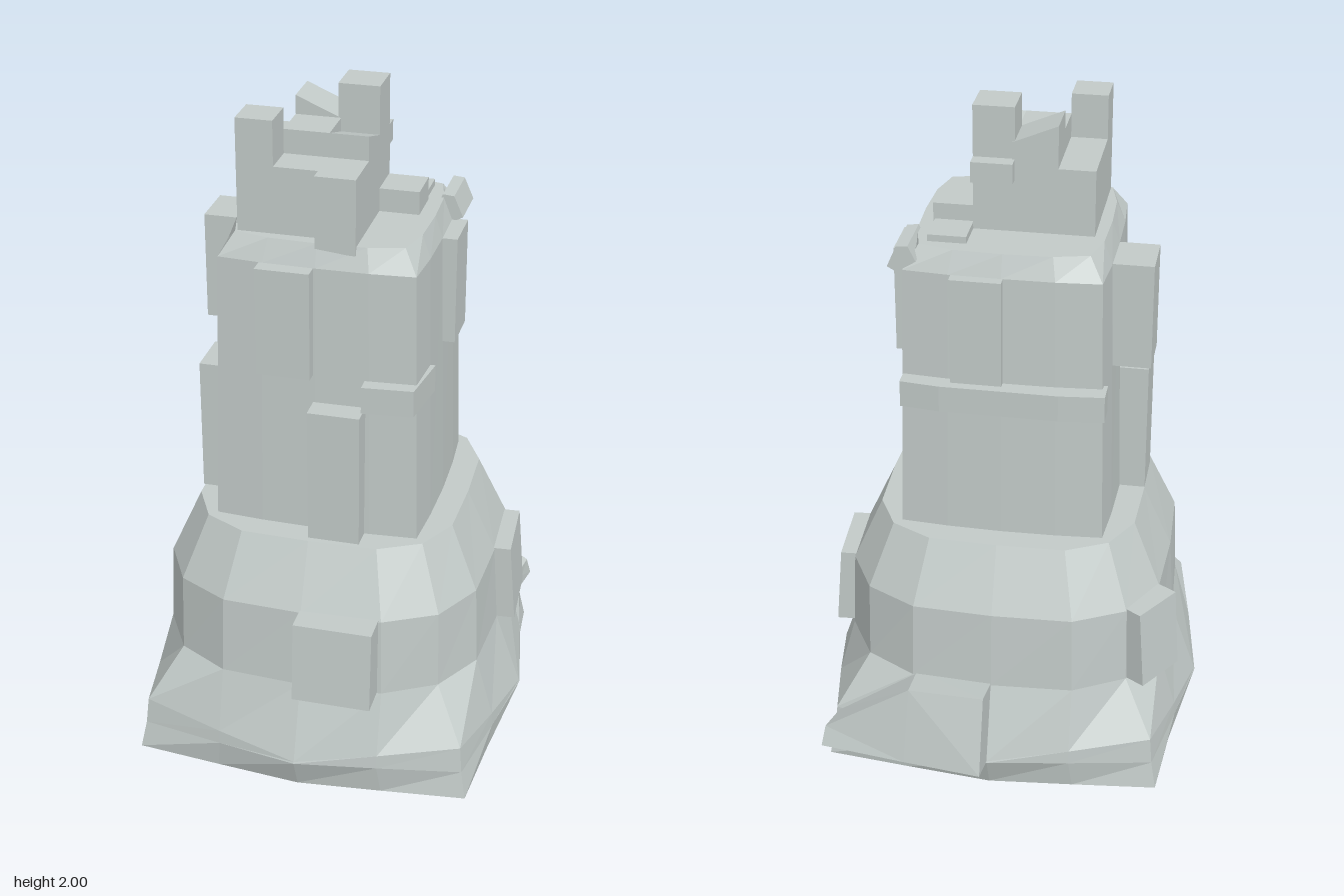
import * as THREE from 'three';

const CZ = 0.045; // the tower stands slightly forward of the origin

// Skin a list of closed rings (counter-clockwise seen from the last ring) with capped ends.
function loft(rings) {
  const pos = [];
  const tri = (a, b, c) => pos.push(...a, ...b, ...c);
  const n = rings[0].length;
  for (let r = 0; r < rings.length - 1; r++) {
    for (let i = 0; i < n; i++) {
      const j = (i + 1) % n, a = rings[r], b = rings[r + 1];
      tri(a[i], a[j], b[j]);
      tri(a[i], b[j], b[i]);
    }
  }
  const cap = (ring, flip) => {
    const c = [0, 1, 2].map(k => ring.reduce((s, p) => s + p[k], 0) / n);
    ring.forEach((p, i) => {
      const q = ring[(i + 1) % n];
      if (flip) tri(c, q, p); else tri(c, p, q);
    });
  };
  cap(rings[0], true);
  cap(rings[rings.length - 1], false);
  const g = new THREE.BufferGeometry();
  g.setAttribute('position', new THREE.Float32BufferAttribute(pos, 3));
  g.computeVertexNormals();
  return g;
}

// Bulged square ring: m = side middle, q/qm = quarter point, d = corner, y for each.
function ring(m, q, qm, d, yM, yQ = yM, yD = yM) {
  const quarter = [[0, m, yM], [q, qm, yQ], [d, d, yD], [qm, q, yQ]];
  const out = [];
  for (let k = 0; k < 4; k++) {
    for (let [x, z, y] of quarter) {
      for (let t = 0; t < k; t++) [x, z] = [z, -x];
      out.push([x, y, z + CZ]);
    }
  }
  return out;
}

export function createModel() {
  const group = new THREE.Group();
  const stone = new THREE.MeshStandardMaterial({ color: 0xc2cac8, flatShading: true });
  stone.name = 'pale stone';

  const add = (name, geometry) => {
    const mesh = new THREE.Mesh(geometry, stone);
    mesh.name = name;
    group.add(mesh);
    return mesh;
  };
  // Box given by its limits on each axis
  const box = (name, x0, x1, y0, y1, z0, z1) => {
    const g = new THREE.BoxGeometry(x1 - x0, y1 - y0, z1 - z0);
    return add(name, g.translate((x0 + x1) / 2, (y0 + y1) / 2, (z0 + z1) / 2));
  };
  // Profile in x/y extruded along z between two limits
  const prism = (name, pts, z0, z1) => {
    const shape = new THREE.Shape(pts.map(p => new THREE.Vector2(...p)));
    const g = new THREE.ExtrudeGeometry(shape, { depth: z1 - z0, bevelEnabled: false });
    return add(name, g.translate(0, 0, z0));
  };

  // Flared foot, its corners folding up to the rounder body
  add('skirt', loft([
    ring(0.53, 0.25, 0.515, 0.5, 0, 0.008, 0.018),
    ring(0.57, 0.24, 0.53, 0.485, 0.1),
    ring(0.568, 0.24, 0.527, 0.478, 0.105, 0.142, 0.18),
    ring(0.49, 0.24, 0.475, 0.39, 0.33),
  ]));

  // Drum with sloping shoulder
  add('lowerBody', loft([
    ring(0.49, 0.24, 0.475, 0.39, 0.33),
    ring(0.475, 0.235, 0.465, 0.385, 0.57),
    ring(0.388, 0.2, 0.382, 0.32, 0.76),
  ]));

  // Square tower with a chamfered top
  add('tower', loft([
    ring(0.312, 0.16, 0.308, 0.298, 0.75),
    ring(0.292, 0.15, 0.29, 0.28, 1.57),
    ring(0.27, 0.14, 0.265, 0.24, 1.635),
  ]));

  // Raised panels on the tower walls
  box('frontLowerPanel', -0.005, 0.145, 0.76, 1.165, 0.3, 0.415);
  box('frontUpperPanel', -0.16, -0.005, 1.25, 1.57, 0.3, 0.38);
  box('rightLowerPanel', -0.388, -0.28, 0.76, 1.165, 0.05, 0.2);
  box('rightUpperPanel', -0.408, -0.27, 1.25, 1.57, -0.1, 0.05);
  box('leftUpperPanel', 0.27, 0.335, 1.25, 1.57, -0.1, 0.048);
  box('backUpperPanel', -0.005, 0.142, 1.25, 1.57, -0.278, -0.22);

  // Belt across the back and a short one round the front left corner
  const belt = (name, pts) => {
    const shape = new THREE.Shape(pts.map(([x, z]) => new THREE.Vector2(x, -z)));
    const g = new THREE.ExtrudeGeometry(shape, { depth: 0.08, bevelEnabled: false });
    add(name, g.rotateX(-Math.PI / 2).translate(0, 1.168, 0));
  };
  belt('backBelt', [[-0.3, -0.22], [-0.3, -0.29], [-0.17, -0.303],
    [0.17, -0.303], [0.285, -0.29], [0.285, -0.22]]);
  belt('cornerBelt', [[0.142, 0.3], [0.142, 0.385], [0.288, 0.372],
    [0.312, 0.2], [0.26, 0.2], [0.26, 0.3]]);

  // Slanted panels leaning on the lower body: outward angle, centre, width
  const slab = [[-0.08, 0.332], [0.035, 0.332], [0.015, 0.575], [-0.08, 0.575]];
  [
    ['frontSkirtPanel', -Math.PI / 2, 0.112, 0.578, 0.23],
    ['leftSkirtPanel', 0.06, 0.502, -0.07, 0.23],
    ['backRightSkirtPanel', 2.57, -0.46, -0.287, 0.166],
  ].forEach(([name, angle, x, z, w]) => {
    const mesh = prism(name, slab, -w / 2, w / 2);
    mesh.position.set(x, 0, z);
    mesh.rotation.y = angle;
  });

  // Buttress on the back of the skirt, falling away to the left corner
  add('skirtButtress', loft([
    [[0, 0.33, -0.42], [0, 0.1, -0.5], [0.005, 0.125, -0.62], [0.005, 0.355, -0.548]],
    [[0.23, 0.33, -0.41], [0.24, 0.1, -0.48], [0.24, 0.122, -0.588], [0.23, 0.352, -0.538]],
    [[0.47, 0.17, -0.43], [0.47, 0.1, -0.44], [0.5, 0.12, -0.55], [0.49, 0.18, -0.53]],
  ]));

  // Leaning plate over the tower's chamfer
  prism('chamferPlate', [[0.24, 1.6], [0.295, 1.565], [0.322, 1.58], [0.295, 1.642], [0.262, 1.645]],
    -0.24, -0.09);

  // Broken crown: main block, turrets, ramps and steps
  box('crownBlock', -0.235, 0.11, 1.6, 1.83, -0.07, 0.28);
  box('crownFrontBlock', -0.005, 0.11, 1.58, 1.83, 0.2, 0.32);
  box('rightTurret', -0.235, -0.13, 1.83, 1.96, 0.172, 0.28);
  box('centreTurret', -0.008, 0.11, 1.83, 2, -0.065, 0.052);
  box('turretKnob', -0.008, 0.11, 1.79, 1.85, -0.108, -0.06);
  box('walkway', -0.13, 0, 1.83, 1.9, 0.05, 0.175);
  const wedge = prism('walkwayRamp', [[-0.175, 1.83], [-0.05, 1.83], [-0.05, 1.86], [-0.175, 1.9]], 0, 0.11);
  wedge.rotation.y = Math.PI / 2;
  prism('crownRamp', [[-0.13, 1.83], [0, 1.83], [0, 1.9], [-0.13, 1.955]], -0.07, 0.052);
  box('upperStep', 0.11, 0.225, 1.58, 1.703, -0.065, 0.052);
  box('lowerStep', 0.11, 0.22, 1.6, 1.655, -0.175, -0.065);

  return group;
}
